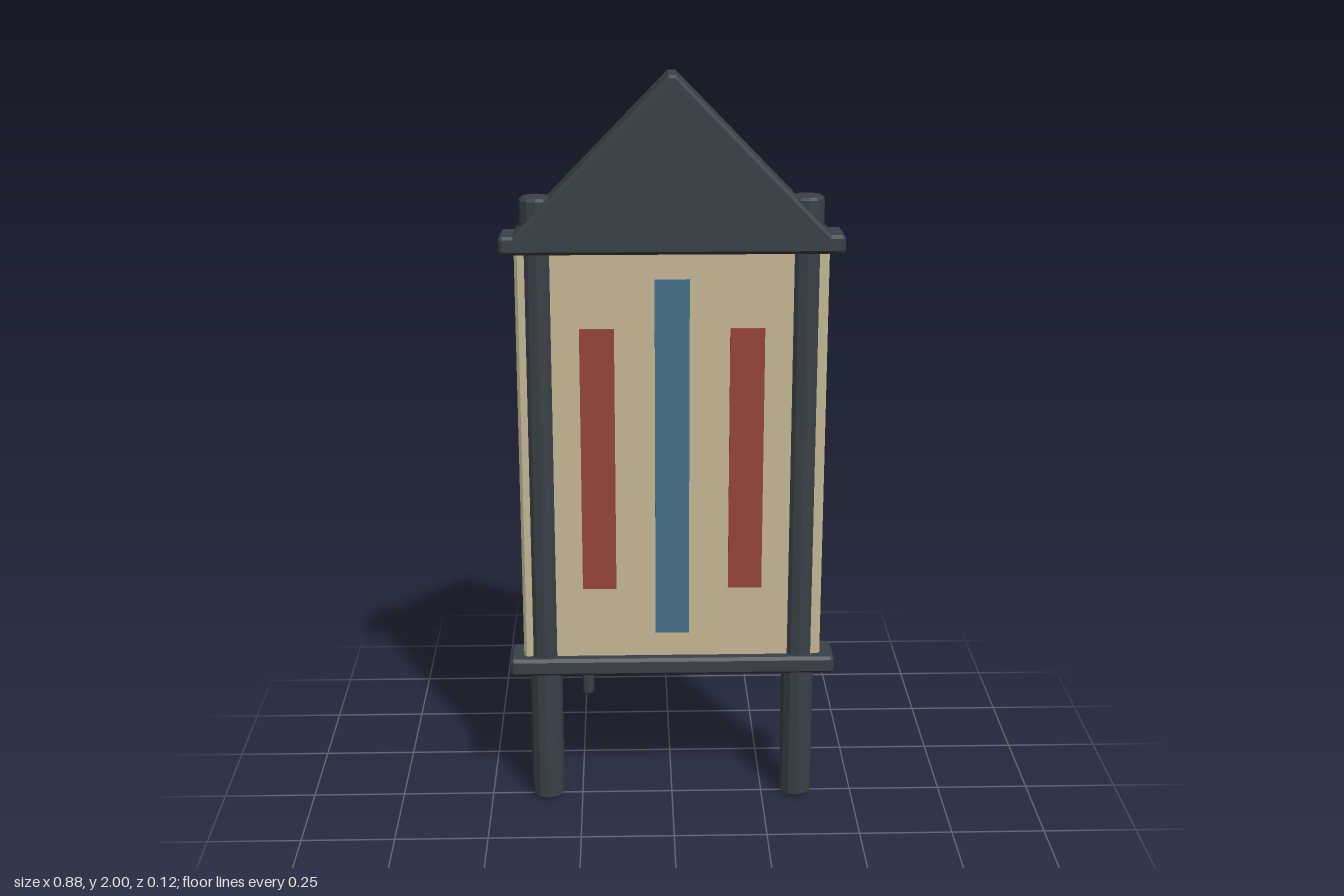
import * as THREE from 'three';

const mat = (name, color, extra = {}) => {
  const m = new THREE.MeshStandardMaterial({ color, ...extra });
  m.name = name;
  return m;
};

// Extrudes an outline to depth d, centred on z = 0, with a flat chamfer kept inside the outline
function chamfered(points, d, c) {
  const shape = new THREE.Shape(points.map(([x, y]) => new THREE.Vector2(x, y)));
  const geo = new THREE.ExtrudeGeometry(shape, {
    depth: d - 2 * c, bevelEnabled: true, bevelSegments: 1,
    bevelThickness: c, bevelSize: c, bevelOffset: -c,
  });
  return geo.translate(0, 0, -d / 2 + c);
}

const rect = (w, y0, y1, c = 0) => [
  [-w / 2 + c, y0], [w / 2 - c, y0], [w / 2, y0 + c], [w / 2, y1 - c],
  [w / 2 - c, y1], [-w / 2 + c, y1], [-w / 2, y1 - c], [-w / 2, y0 + c],
];

// Upright round bar with chamfered ends
function bar(r, y0, y1, c, sides) {
  const profile = [[0, y0], [r - c, y0], [r, y0 + c], [r, y1 - c], [r - c, y1], [0, y1]];
  return new THREE.LatheGeometry(profile.map(([x, y]) => new THREE.Vector2(x, y)), sides);
}

export function createModel() {
  const model = new THREE.Group();
  model.name = 'signboard';
  const frame = mat('dark frame', 0x394147, { flatShading: true });
  const board = mat('tan board', 0xc6b997);
  const red = mat('red stripe', 0x984536);
  const blue = mat('blue stripe', 0x44708d);

  const add = (name, geo, material, x = 0, y = 0, z = 0) => {
    const mesh = new THREE.Mesh(geo, material);
    mesh.name = name;
    mesh.position.set(x, y, z);
    model.add(mesh);
  };

  // Board and the two rails that hold it
  add('board', chamfered(rect(0.806, 0.41, 1.57, 0.008), 0.056, 0.008), board);
  add('lowerRail', chamfered(rect(0.88, 0.383, 0.431, 0.008), 0.114, 0.008), frame);
  add('upperRail', chamfered(rect(0.88, 1.549, 1.597, 0.008), 0.114, 0.008), frame);

  // Gable roof with a narrow flat ridge
  add('roof', chamfered([
    [-0.425, 1.55], [0.425, 1.55], [0.425, 1.575], [0.01, 2], [-0.01, 2], [-0.425, 1.575],
  ], 0.116, 0.008), frame);

  // Posts run from the ground through both rails
  for (const [side, name] of [[1, 'leftPost'], [-1, 'rightPost']]) {
    add(name, bar(0.044, 0, 1.69, 0.007, 12), frame, side * 0.345);
  }

  // Small peg under the lower rail
  add('peg', bar(0.016, 0.31, 0.4, 0.003, 8), frame, -0.23);

  // Stripes on the front of the board
  for (const [side, name] of [[1, 'leftStripe'], [-1, 'rightStripe']]) {
    add(name, new THREE.BoxGeometry(0.09, 0.72, 0.008), red, side * 0.195, 0.99, 0.031);
  }
  add('middleStripe', new THREE.BoxGeometry(0.09, 0.98, 0.008), blue, 0, 0.99, 0.031);

  return model;
}
